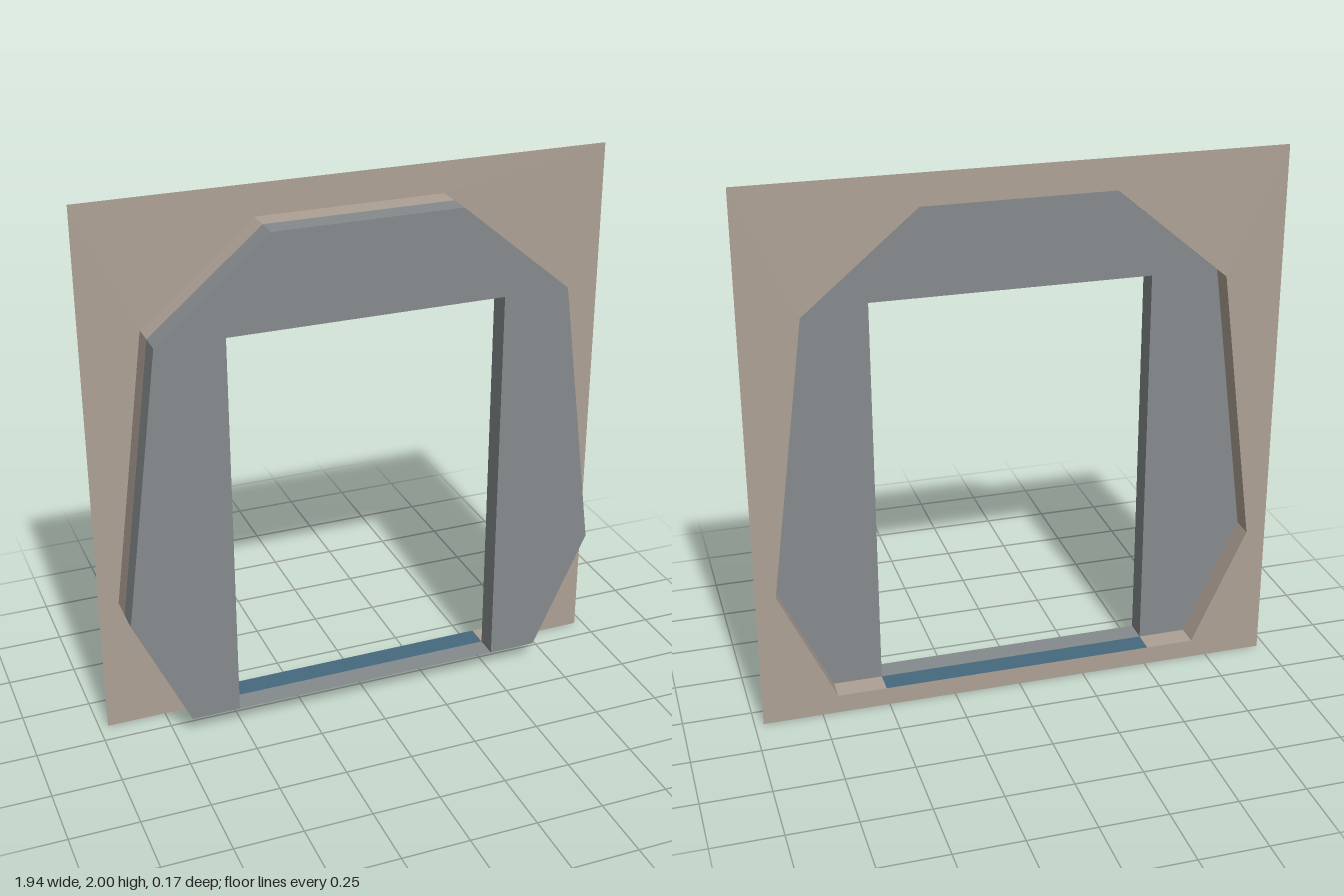
import * as THREE from 'three';

const D = 0.085; // half of the total depth
const BASE = 0.07;
const DOOR = 0.51;

// Faceted arch outline, from the foot at -x over the top to the foot at +x
const half = [[0.69, BASE], [0.895, 0.51], [0.757, 1.54], [0.345, 1.885]];
const arch = [...half.map(([x, y]) => [-x, y]), ...half.slice().reverse()];

const toShape = (pts) => new THREE.Shape(pts.map(([x, y]) => new THREE.Vector2(x, y)));

// Thin flat-shaded band following a path in xy, between two depths
function band(pts, z0, z1) {
  const pos = [];
  for (let i = 0; i < pts.length - 1; i++) {
    const [ax, ay] = pts[i];
    const [bx, by] = pts[i + 1];
    pos.push(ax, ay, z0, ax, ay, z1, bx, by, z1, ax, ay, z0, bx, by, z1, bx, by, z0);
  }
  const g = new THREE.BufferGeometry();
  g.setAttribute('position', new THREE.Float32BufferAttribute(pos, 3));
  g.computeVertexNormals();
  return g;
}

function material(name, color) {
  const m = new THREE.MeshStandardMaterial({ color, side: THREE.DoubleSide });
  m.name = name;
  return m;
}

export function createModel() {
  const group = new THREE.Group();
  group.name = 'archedDoorway';
  const tan = material('tan wall', 0xaea195);
  const grey = material('grey frame', 0x858a8c);
  const blue = material('blue sill', 0x466a7e);

  const add = (name, geometry, mat) => {
    const mesh = new THREE.Mesh(geometry, mat);
    mesh.name = name;
    group.add(mesh);
  };

  // Rear wall sheet with the arch cut out
  const wall = toShape([[-0.968, 0], [0.968, 0], [0.968, 2], [-0.968, 2]]);
  wall.holes.push(new THREE.Path(arch.map(([x, y]) => new THREE.Vector2(x, y))));
  add('wall', new THREE.ShapeGeometry(wall).translate(0, 0, -D), tan);

  // Reveal joining the wall to the frame, open under the doorway
  add('reveal', band([[-DOOR, BASE], ...arch, [DOOR, BASE]], -D, 0), tan);

  // Solid frame around the door opening
  const frame = toShape([...arch, [DOOR, BASE], [DOOR, 1.54], [-DOOR, 1.54], [-DOOR, BASE]]);
  add('frame', new THREE.ExtrudeGeometry(frame, { depth: D, bevelEnabled: false }), grey);

  // Threshold: grey in front, blue behind
  const floor = [[DOOR, BASE], [-DOOR, BASE]];
  add('frontThreshold', band(floor, 0, D), grey);
  add('rearThreshold', band(floor, -D, 0), blue);

  return group;
}
